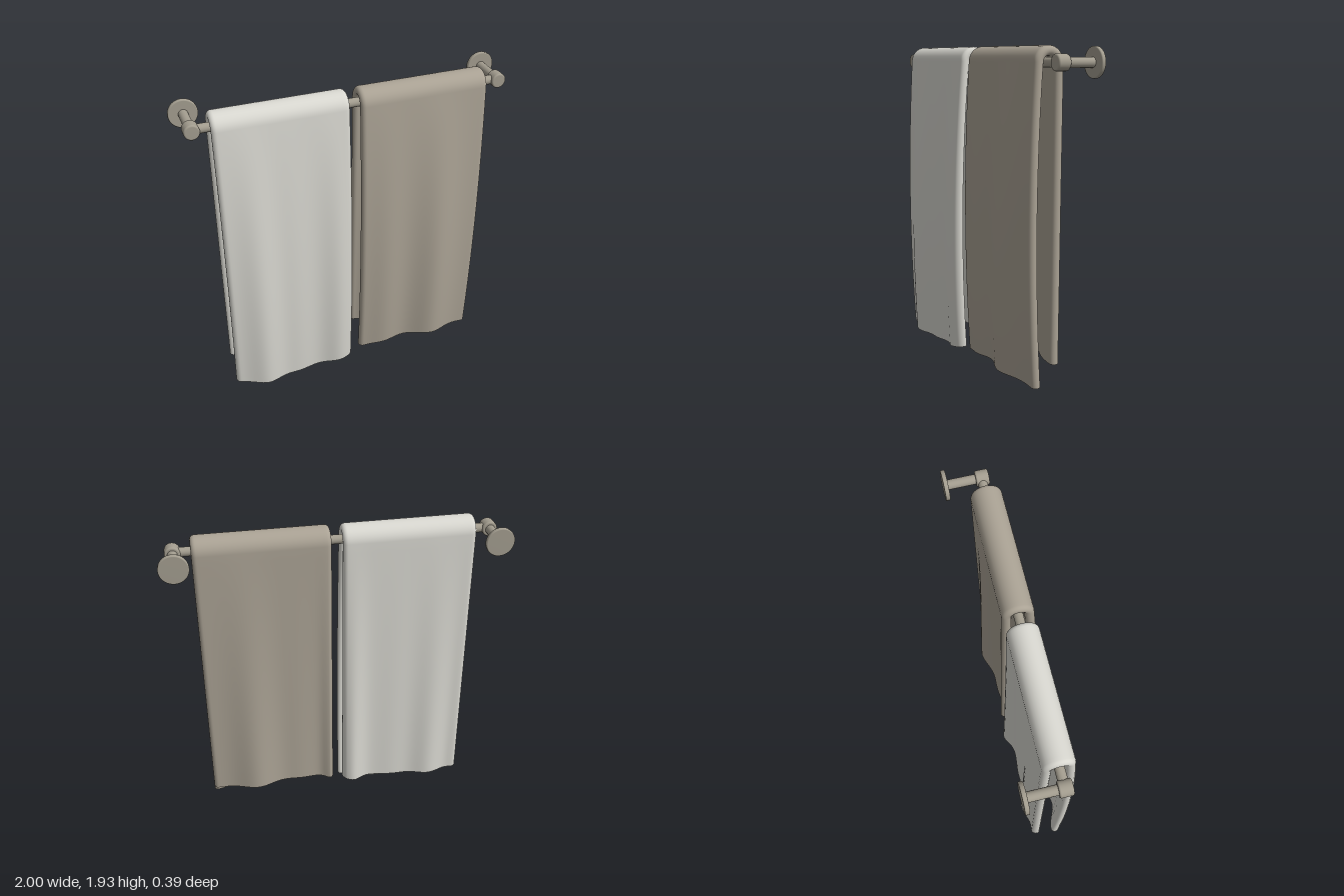
import * as THREE from 'three';

const RAIL_Y = 1.845, RAIL_Z = 0.033;
const HALF_T = 0.0275;   // half the cloth thickness
const FOLD_R = 0.0625;   // centre-line radius of the fold over the rail

// sum of soft folds, each [x, height, width]
const folds = (list, x) =>
  list.reduce((s, [cx, h, w]) => s + h * Math.exp(-(((x - cx) / w) ** 2)), 0);

// smooth hem height through three points: [left, middle, right] plus middle position
const hemLine = ([a, b, c], k, f) => f < k
  ? b + (a - b) * ((k - f) / k) ** 2
  : b + (c - b) * ((f - k) / (1 - k)) ** 2;

// centre line of the cloth: u 0..1 up the front, 1..2 over the rail, 2..3 down the back
function centreLine(p, x, u) {
  const f = THREE.MathUtils.clamp((x - p.x0) / (p.x1 - p.x0), 0, 1);
  if (u < 1) {
    const t = 1 - u;
    const bow = 0.11 * t * (1 - t) - 0.005 * t * t;
    const wave = folds(p.front, x) * t * (1.7 - 0.7 * t);
    return [THREE.MathUtils.lerp(RAIL_Y, hemLine(p.frontHem, p.hemMid, f), t), RAIL_Z + FOLD_R + bow + wave];
  }
  if (u <= 2) {
    const a = (u - 1) * Math.PI;
    return [RAIL_Y + FOLD_R * Math.sin(a), RAIL_Z + FOLD_R * Math.cos(a)];
  }
  const t = u - 2;
  return [THREE.MathUtils.lerp(RAIL_Y, hemLine(p.backHem, p.hemMid, f), t),
    RAIL_Z - FOLD_R + 0.006 * t + folds(p.back, x) * t];
}

// thick cloth swept along the centre line, with round side edges and flat hems
function towelGeometry(p) {
  // stations across the width: [x, half thickness]
  const stations = [], ends = 6, across = 44;
  const xr = p.x1 - HALF_T, xl = p.x0 + HALF_T;
  for (let k = 0; k < ends; k++) {
    const a = (k / ends) * Math.PI / 2;
    stations.push([xr + HALF_T * Math.cos(a), HALF_T * Math.sin(a)]);
  }
  for (let k = 0; k <= across; k++) stations.push([xr + (xl - xr) * k / across, HALF_T]);
  for (let k = ends - 1; k >= 0; k--) {
    const a = (k / ends) * Math.PI / 2;
    stations.push([xl - HALF_T * Math.cos(a), HALF_T * Math.sin(a)]);
  }
  const n = stations.length;
  const ring = [...stations, ...stations.slice(1, -1).reverse().map(([x, h]) => [x, -h])];
  const L = ring.length;

  const us = [];
  for (let i = 0; i < 28; i++) us.push(i / 28);
  for (let i = 0; i < 16; i++) us.push(1 + i / 16);
  for (let i = 0; i <= 28; i++) us.push(2 + i / 28);

  const pos = [], idx = [];
  const addRing = (u) => {
    for (const [x, h] of ring) {
      const [y, z] = centreLine(p, x, u);
      const e = 0.002;
      const [ya, za] = centreLine(p, x, Math.max(u - e, 0));
      const [yb, zb] = centreLine(p, x, Math.min(u + e, 3));
      const len = Math.hypot(yb - ya, zb - za);
      pos.push(x, y - h * (zb - za) / len, z + h * (yb - ya) / len);
    }
  };
  us.forEach(addRing);
  for (let i = 0; i < us.length - 1; i++) {
    for (let j = 0; j < L; j++) {
      const a = i * L + j, b = i * L + (j + 1) % L, c = a + L, d = b + L;
      idx.push(a, c, d, a, d, b);
    }
  }
  // flat hems with their own vertices
  for (const u of [0, 3]) {
    const base = pos.length / 3;
    addRing(u);
    for (let j = 0; j < n - 1; j++) {
      const o0 = base + j, o1 = base + j + 1;
      const i0 = base + (L - j) % L, i1 = base + (L - j - 1) % L;
      if (u === 0) idx.push(o0, o1, i1, o0, i1, i0);
      else idx.push(o0, i1, o1, o0, i0, i1);
    }
  }
  const g = new THREE.BufferGeometry();
  g.setAttribute('position', new THREE.Float32BufferAttribute(pos, 3));
  g.setIndex(idx);
  g.computeVertexNormals();
  return g;
}

// disc with softened rims, from z = 0 to z = depth
function softDisc(r, depth, bevel) {
  const pts = [new THREE.Vector2(0, 0)];
  for (const [cy, start] of [[bevel, -Math.PI / 2], [depth - bevel, 0]]) {
    for (let k = 0; k <= 4; k++) {
      const a = start + (k / 4) * Math.PI / 2;
      pts.push(new THREE.Vector2(r - bevel + bevel * Math.cos(a), cy + bevel * Math.sin(a)));
    }
  }
  pts.push(new THREE.Vector2(0, depth));
  return new THREE.LatheGeometry(pts, 40).rotateX(Math.PI / 2);
}

export function createModel() {
  const model = new THREE.Group();
  model.name = 'towelRail';

  const mat = (name, color) => {
    const m = new THREE.MeshStandardMaterial({ color });
    m.name = name;
    return m;
  };
  const metal = mat('brushedMetal', 0xa39d8f);
  const paleCloth = mat('paleCloth', 0xd8d7d0);
  const taupeCloth = mat('taupeCloth', 0xaaa294);

  const add = (parent, name, geometry, material, x, y, z) => {
    const m = new THREE.Mesh(geometry, material);
    m.name = name;
    m.position.set(x, y, z);
    parent.add(m);
  };

  // rail
  add(model, 'rail', new THREE.CylinderGeometry(0.027, 0.027, 1.8, 32).rotateZ(Math.PI / 2),
    metal, 0, RAIL_Y, RAIL_Z);

  // wall brackets
  for (const [side, name] of [[1, 'leftBracket'], [-1, 'rightBracket']]) {
    const bracket = new THREE.Group();
    bracket.name = name;
    bracket.position.set(side * 0.915, RAIL_Y, 0);
    add(bracket, 'wallPlate', softDisc(0.085, 0.026, 0.007), metal, 0, 0, -0.188);
    add(bracket, 'post', new THREE.CylinderGeometry(0.028, 0.028, 0.19, 32).rotateX(Math.PI / 2),
      metal, 0, 0, -0.08);
    add(bracket, 'knob', softDisc(0.045, 0.076, 0.01), metal, 0, 0, -0.002);
    model.add(bracket);
  }

  // towels
  add(model, 'rightTowel', towelGeometry({
    x0: -0.82, x1: -0.035, hemMid: 0.35,
    frontHem: [0.025, 0.003, 0.047], backHem: [0.135, 0.125, 0.15],
    front: [[-0.62, 0.057, 0.11], [-0.4, 0.02, 0.1], [-0.12, 0.045, 0.1]],
    back: [[-0.8, -0.02, 0.05], [-0.62, -0.05, 0.11], [-0.38, -0.015, 0.1], [-0.1, -0.052, 0.07]],
  }), paleCloth, 0, 0, 0);
  add(model, 'leftTowel', towelGeometry({
    x0: 0.03, x1: 0.815, hemMid: 0.5,
    frontHem: [0.062, 0.092, 0.06], backHem: [0.175, 0.195, 0.18],
    front: [[0.2, 0.028, 0.1], [0.53, 0.067, 0.13]],
    back: [[0.05, -0.035, 0.045], [0.25, -0.015, 0.1], [0.53, -0.064, 0.13]],
  }), taupeCloth, 0, 0, 0);

  return model;
}
